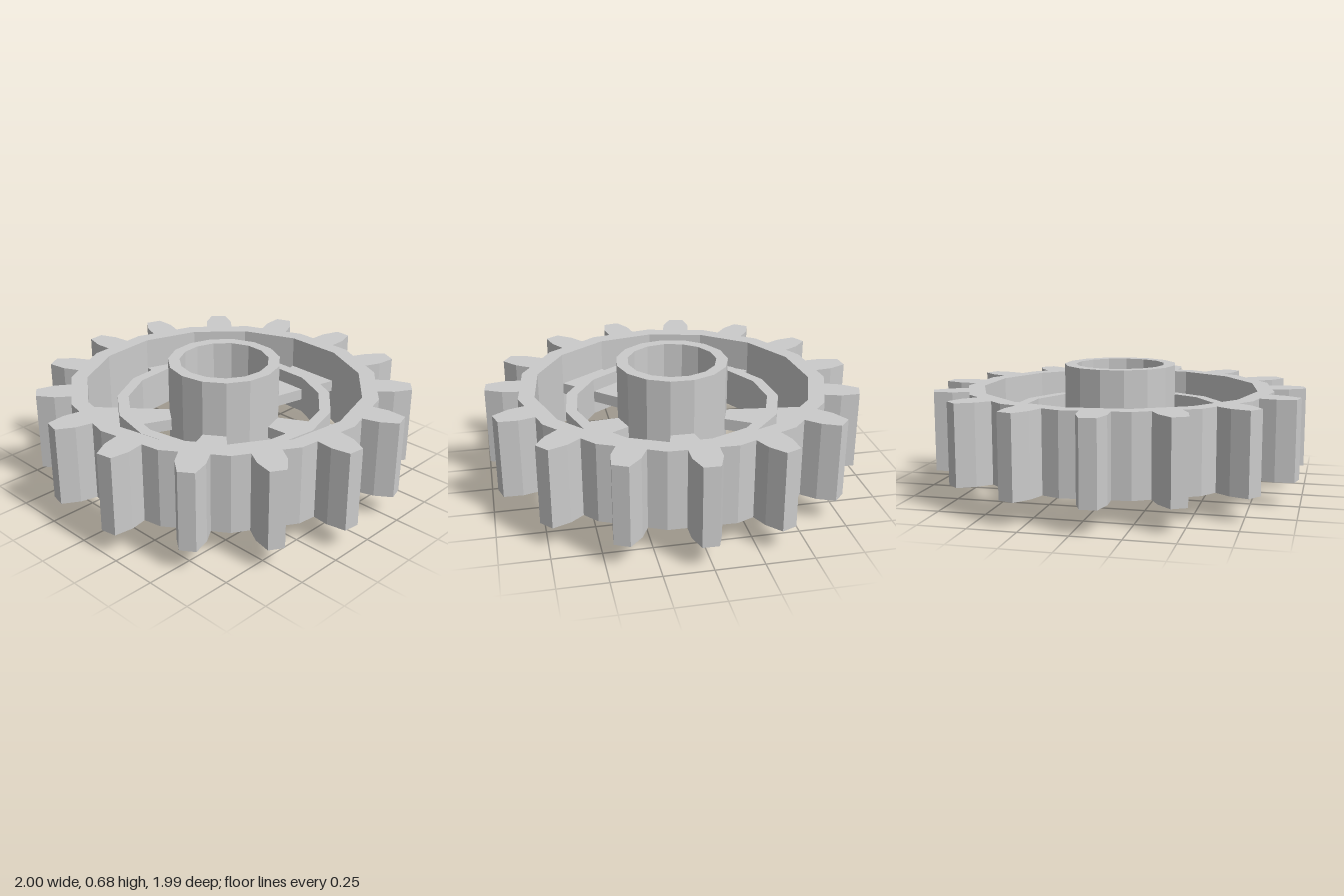
import * as THREE from 'three';

const TEETH = 15;
const STEP = (Math.PI * 2) / TEETH;
const START = THREE.MathUtils.degToRad(1.1); // heading of the first tooth

// Point at radius r along heading a (clockwise from the back), offset sideways by s
const polar = (r, a, s = 0) =>
  new THREE.Vector2(r * Math.sin(a) + s * Math.cos(a), r * Math.cos(a) - s * Math.sin(a));

// 15-sided outline with its corners midway between the teeth
const polygon = (r) =>
  Array.from({ length: TEETH }, (_, i) => polar(r, START + (i + 0.5) * STEP));

export function createModel() {
  const gear = new THREE.Group();
  gear.name = 'gear';
  const material = new THREE.MeshStandardMaterial({ color: 0xcccccc, flatShading: true });

  // Upright extrusion of a clockwise plan outline from y0 to y1, with an optional hole
  function addPlate(name, outline, hole, y0, y1) {
    const shape = new THREE.Shape(outline);
    // The hole runs against the outline so that its walls face inwards
    if (hole) shape.holes.push(new THREE.Path(hole.reverse()));
    const geometry = new THREE.ExtrudeGeometry(shape, { depth: y1 - y0, bevelEnabled: false });
    geometry.rotateX(-Math.PI / 2).translate(0, y0, 0.006);
    const mesh = new THREE.Mesh(geometry, material);
    mesh.name = name;
    gear.add(mesh);
  }

  // Toothed rim: straight flanks, tapered tips, one corner in each valley
  const teeth = [];
  for (let i = 0; i < TEETH; i++) {
    const a = START + i * STEP;
    teeth.push(
      polar(0.815, a, -0.076), polar(0.905, a, -0.074), polar(1.0, a, -0.042),
      polar(1.0, a, 0.042), polar(0.905, a, 0.074), polar(0.815, a, 0.076),
      polar(0.834, a + STEP / 2)
    );
  }
  addPlate('toothedRim', teeth, polygon(0.746), 0.127, 0.55);

  // Hub sleeve and middle stiffening ring
  addPlate('hub', polygon(0.302), polygon(0.24), 0, 0.675);
  addPlate('middleRing', polygon(0.586), polygon(0.525), 0.235, 0.445);

  // Five flared spokes, each one tooth pitch wide, sunk into hub and rim
  for (let i = 0; i < 5; i++) {
    const a = START + i * 3 * STEP;
    const h = STEP / 2;
    addPlate('spoke', [polar(0.28, a - h), polar(0.76, a - h), polar(0.76, a + h), polar(0.28, a + h)],
      null, 0.308, 0.372);
  }
  return gear;
}
